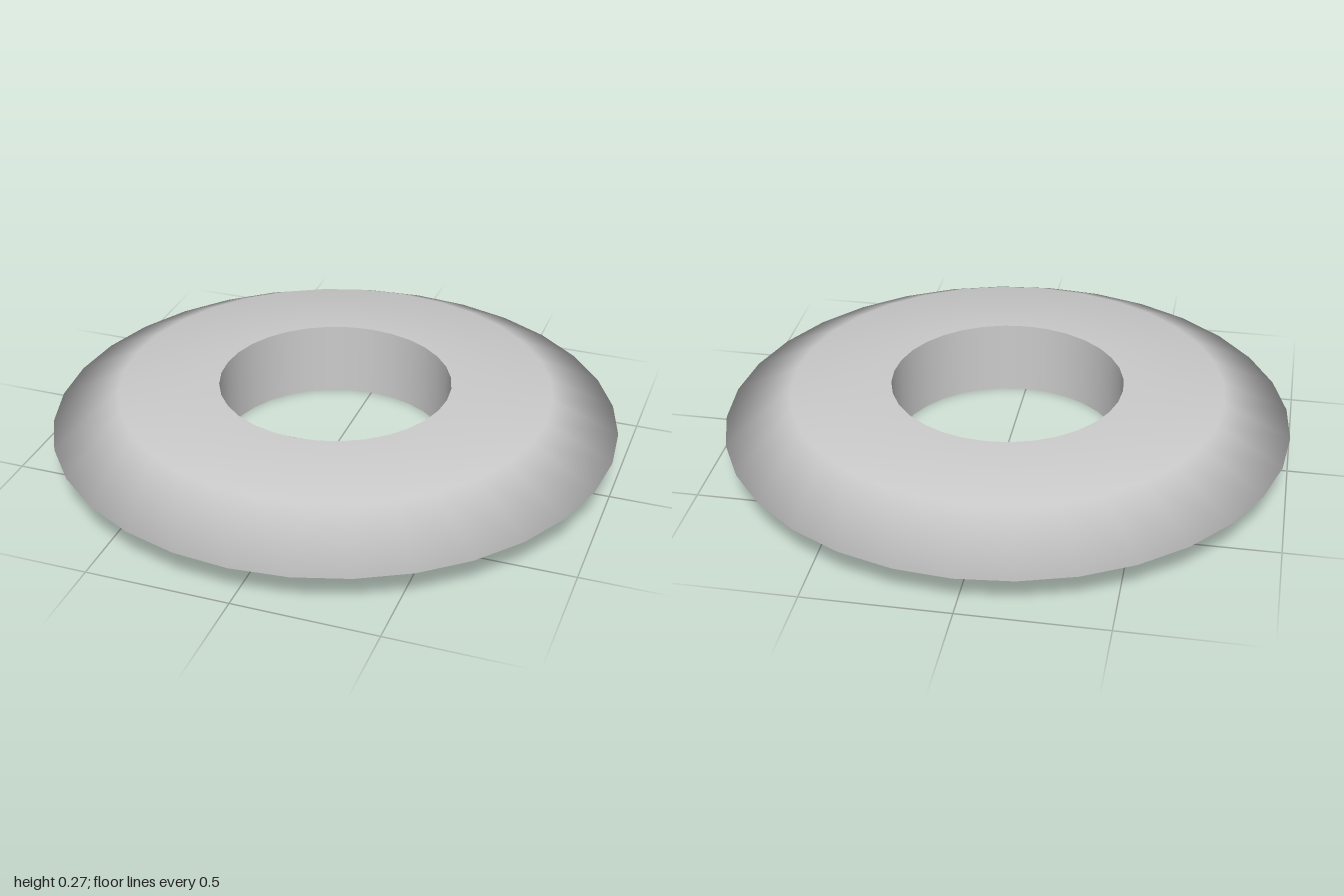
import * as THREE from 'three';

const SEGMENTS = 32;

// Revolves a profile of [radius, height] pairs around the y axis.
function revolve(name, profile, material) {
  const points = profile.map(([r, y]) => new THREE.Vector2(r, y));
  const mesh = new THREE.Mesh(new THREE.LatheGeometry(points, SEGMENTS), material);
  mesh.name = name;
  return mesh;
}

export function createModel() {
  const group = new THREE.Group();
  group.name = 'ringDisc';
  const material = new THREE.MeshStandardMaterial({ color: 0xcccccc });

  const hole = 0.41, shoulder = 0.765, rim = 1;
  const height = 0.27, drop = 0.018;

  // Smooth outer shell: underside, pointed rim and top
  group.add(revolve('discBody', [
    [hole, 0],
    [shoulder, drop],
    [rim, height / 2],
    [shoulder, height - drop],
    [hole, height],
  ], material));

  // Straight wall of the centre hole, with sharp edges to the shell
  group.add(revolve('holeWall', [[hole, height], [hole, 0]], material));

  return group;
}
